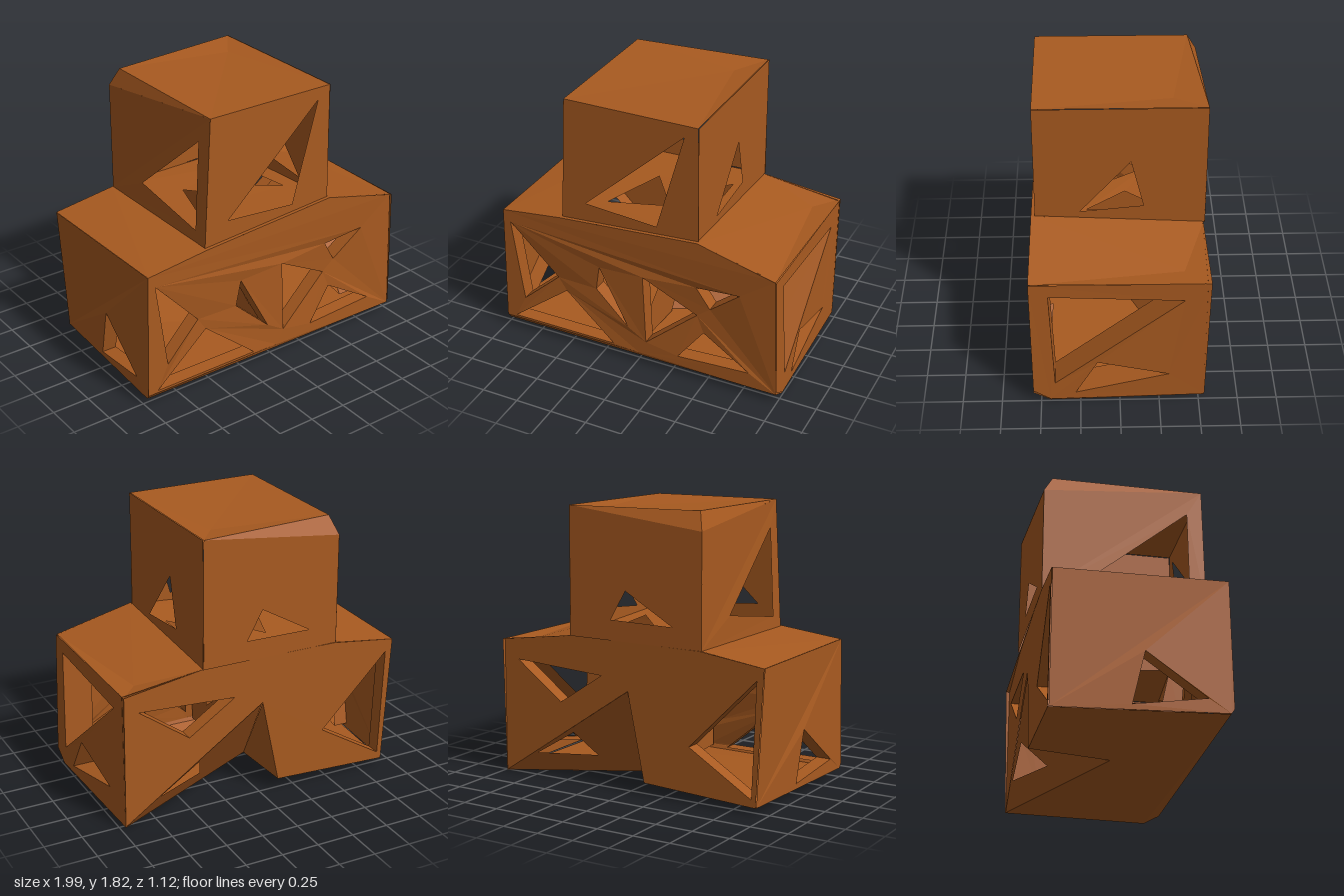
import * as THREE from 'three';

const wood = new THREE.MeshStandardMaterial({ color: 0xa85a20, side: THREE.DoubleSide, flatShading: true });
wood.name = 'brown wood';

// Facet: a fan of triangles through a few corner points.
function facet(group, name, ...corners) {
  const geometry = new THREE.BufferGeometry();
  const fan = [];
  for (let i = 1; i < corners.length - 1; i++) fan.push(...corners[0], ...corners[i], ...corners[i + 1]);
  geometry.setAttribute('position', new THREE.Float32BufferAttribute(fan, 3));
  geometry.computeVertexNormals();
  const mesh = new THREE.Mesh(geometry, wood);
  mesh.name = name;
  group.add(mesh);
}

// Wall: a 2D outline with holes, placed in space by a rule (u, v) -> [x, y, z].
// With an inward vector, the edges of each hole also get that thickness.
function panel(group, name, outline, holes, place, inward) {
  const points = (list) => list.map(([u, v]) => new THREE.Vector2(u, v));
  const shape = new THREE.Shape(points(outline));
  holes.forEach((h) => shape.holes.push(new THREE.Path(points(h))));
  const geometry = new THREE.ShapeGeometry(shape);
  const pos = geometry.attributes.position;
  for (let i = 0; i < pos.count; i++) pos.setXYZ(i, ...place(pos.getX(i), pos.getY(i)));
  geometry.computeVertexNormals();
  const mesh = new THREE.Mesh(geometry, wood);
  mesh.name = name;
  group.add(mesh);
  if (!inward) return;
  const pushIn = (p) => p.map((c, k) => c + inward[k]);
  holes.forEach((h) => h.forEach((corner, i) => {
    const a = place(...corner);
    const b = place(...h[(i + 1) % h.length]);
    facet(group, name + 'Edge', a, b, pushIn(b), pushIn(a));
  }));
}

export function createModel() {
  const model = new THREE.Group();
  model.name = 'crateStack';
  const lower = new THREE.Group();
  lower.name = 'lowerCrates';
  const upper = new THREE.Group();
  upper.name = 'upperCrate';
  model.add(lower, upper);

  // Front of both lower crates: crossed braces that sink slightly towards each centre
  const sink = (x, y) => 0.55 - 0.04 * Math.max(0, 1 - Math.hypot(Math.abs(x) - 0.5, y - 0.5) / 0.4);
  panel(lower, 'lowerFront',
    [[-0.99, 0.1], [-0.97, 0.94], [-0.54, 0.99], [0.43, 1.06], [0.96, 0.93], [0.99, 0.08], [0.02, 0.1]],
    [
      [[-0.92, 0.86], [-0.59, 0.5], [-0.84, 0.28]],
      [[-0.92, 0.115], [-0.53, 0.41], [-0.17, 0.115]],
      [[-0.27, 0.68], [-0.06, 0.28], [-0.3, 0.5]],
      [[0.05, 0.7], [0.42, 0.5], [0.07, 0.2]],
      [[0.47, 0.38], [0.8, 0.19], [0.3, 0.16]],
      [[0.42, 0.72], [0.72, 0.75], [0.51, 0.57]],
    ],
    (x, y) => [x, y, sink(x, y)], [0, 0, -0.1]);

  // Back: the left crate is open at its lower middle, where a slanted wall runs in
  panel(lower, 'rightCrateBack',
    [[-0.12, 0.1], [0, 0.68], [-0.05, 1], [-0.53, 0.99], [-0.97, 0.93], [-0.92, 0.06]],
    [[[-0.45, 0.38], [-0.92, 0.85], [-0.89, 0.11]]],
    (x, y) => [x, y, -0.535], [0, 0, 0.1]);
  panel(lower, 'leftCrateBack',
    [[0.97, 0.03], [0.97, 0.93], [0.43, 1], [-0.05, 1], [0, 0.68]],
    [[[0.86, 0.8], [0.2, 0.76], [0.52, 0.55]]],
    (x, y) => [x, y, -0.535], [0, 0, 0.1]);
  panel(lower, 'leftCrateSlantedWall',
    [[0.97, 0.03], [0, 0.68], [-0.14, 0.05]],
    [[[0.36, 0.17], [0.72, 0.18], [0.44, 0.35]]],
    (x, y) => [x, y, -0.052 - 0.477 * x - 0.7035 * y]);
  facet(lower, 'notchWall', [-0.12, 0.1, -0.535], [0, 0.68, -0.535], [-0.14, 0.05, -0.02]);

  // Outer sides, drawn in a little at the lower back corners
  const drawnIn = (z, y) => (1 - y / 0.93) * (0.55 - z) / 1.08;
  panel(lower, 'leftSide',
    [[0.55, 0.1], [0.44, 0.03], [-0.54, 0.03], [-0.56, 0.93], [0.56, 0.93]],
    [
      [[0.44, 0.84], [-0.4, 0.8], [0.41, 0.16]],
      [[0.14, 0.32], [-0.31, 0.21], [0.28, 0.08]],
    ],
    (z, y) => [1 - 0.035 * y - 0.03 * drawnIn(z, y), y, z], [-0.2, 0, 0]);
  panel(lower, 'rightSide',
    [[0.55, 0.1], [0.53, 0.07], [-0.53, 0.06], [-0.53, 0.93], [0.55, 0.94]],
    [[[0.03, 0.44], [0.4, 0.16], [-0.05, 0.1]]],
    (z, y) => [-0.99 + 0.02 * y + 0.07 * drawnIn(z, y), y, z], [0.1, 0, 0]);
  panel(lower, 'partition',
    [[0.53, 0.1], [-0.02, 0.06], [-0.5, 0.68], [-0.5, 0.95], [0.53, 0.95]],
    [[[0.4, 0.75], [-0.25, 0.7], [0.3, 0.3]]],
    (z, y) => [-0.02, y, z]);

  // Underside with its front chamfer
  facet(lower, 'underside', [-0.14, 0.05, -0.02], [-0.12, 0.1, -0.535], [-0.92, 0.06, -0.535],
    [-0.98, 0.07, 0.53], [0.99, 0.02, 0.44], [0.97, 0.03, -0.54]);
  facet(lower, 'frontChamfer', [-0.98, 0.07, 0.53], [0.99, 0.02, 0.44], [0.99, 0.08, 0.55],
    [0.02, 0.1, 0.55], [-0.99, 0.1, 0.55]);

  // Sloping lids of the lower crates, the left one dented at its back corner
  facet(lower, 'rightLid', [-0.97, 0.94, 0.55], [-0.54, 0.99, 0.55], [-0.54, 0.99, -0.535], [-0.97, 0.93, -0.535]);
  const dent = [0.83, 0.92, -0.4];
  const lidFront = [0.96, 0.93, 0.56];
  const lidBack = [0.97, 0.93, -0.56];
  facet(lower, 'leftLid', dent, [0.43, 1, -0.54], [0.43, 1.06, 0.55], lidFront);
  facet(lower, 'leftLidDent', dent, lidFront, lidBack, [0.43, 1, -0.54]);
  panel(lower, 'middleFloor',
    [[-0.54, 0.55], [0.43, 0.55], [0.43, -0.54], [-0.54, -0.535]],
    [
      [[-0.35, 0.25], [0.05, 0.15], [-0.2, -0.2]],
      [[0.1, -0.05], [0.33, 0.2], [0.3, -0.3]],
    ],
    (x, z) => [x, 1.029 + 0.0722 * x - 0.057 * (0.55 - z) * (x + 0.54), z]);

  // Upper crate walls, each with a triangular gap near the floor
  panel(upper, 'upperFront',
    [[-0.535, 0.99], [-0.49, 1.84], [0.42, 1.84], [0.43, 1.06]],
    [[[0.33, 1.76], [-0.36, 1.13], [0.14, 1.09]]],
    (x, y) => [x, y, 0.525]);
  panel(upper, 'upperBack',
    [[-0.535, 0.99], [-0.535, 1.72], [0.42, 1.84], [0.43, 1]],
    [[[0.01, 1.32], [-0.33, 1.12], [0.12, 1.13]]],
    (x, y) => [x, y, -0.54 - 0.02 * x]);
  panel(upper, 'upperLeftSide',
    [[0.525, 1.06], [0.525, 1.84], [-0.55, 1.84], [-0.55, 1]],
    [[[-0.08, 1.46], [0.24, 1.09], [-0.16, 1.13]]],
    (z, y) => [0.425, y, z]);
  panel(upper, 'upperRightSide',
    [[0.525, 0.99], [0.525, 1.84], [-0.53, 1.72], [-0.53, 0.99]],
    [[[0.42, 1.66], [-0.17, 1.16], [0.42, 1.07]]],
    (z, y) => [-0.535 + 0.05 * (z + 0.53) * (y - 0.99), y, z]);

  // Upper lid with a shallow dent and a worn back right corner
  const backLeft = [0.42, 1.84, -0.55];
  const backRight = [-0.49, 1.84, -0.47];
  const frontRight = [-0.49, 1.84, 0.525];
  const wornCorner = [-0.535, 1.72, -0.53];
  const lidDent = [0.27, 1.82, -0.34];
  facet(upper, 'upperLid', lidDent, backRight, frontRight, [0.42, 1.84, 0.525], backLeft);
  facet(upper, 'upperLidDent', backRight, lidDent, backLeft);
  facet(upper, 'lidWornCorner', wornCorner, frontRight, backRight, backLeft);

  return model;
}
